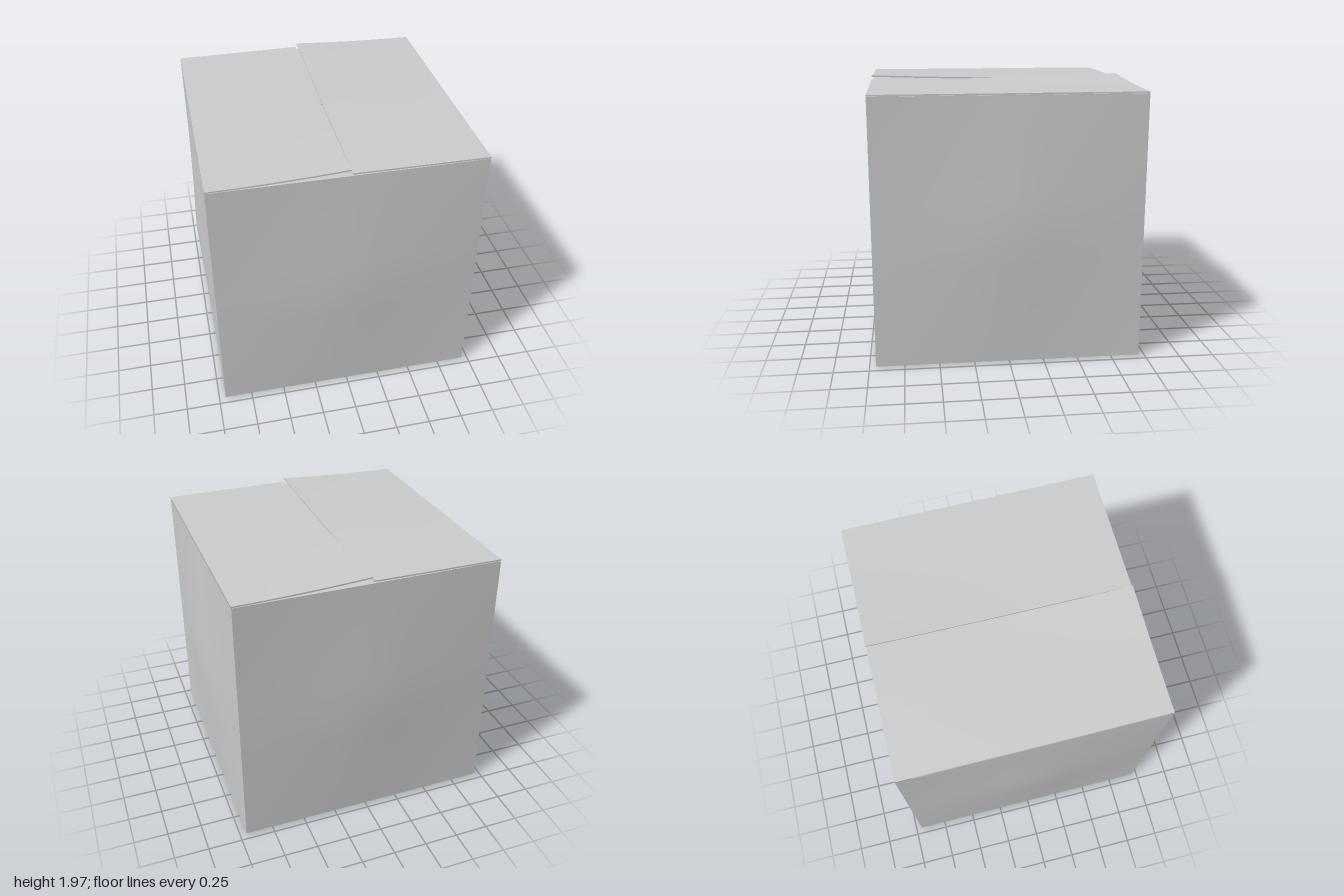
import * as THREE from 'three';

const H = 0.953;       // half width of the carton
const BASE = 0.008;    // lower edge of the walls
const TOP = 1.916;     // upper edge of the walls
const T = 0.011;       // thickness of the board

const card = new THREE.MeshStandardMaterial({ color: 0xcccccc, side: THREE.DoubleSide });

function addMesh(parent, geometry, name) {
  const mesh = new THREE.Mesh(geometry, card);
  mesh.name = name;
  parent.add(mesh);
  return mesh;
}

// Move every vertex by a rule, then refresh the normals
function deform(geometry, rule) {
  const pos = geometry.attributes.position;
  const v = new THREE.Vector3();
  for (let i = 0; i < pos.count; i++) {
    rule(v.fromBufferAttribute(pos, i));
    pos.setXYZ(i, v.x, v.y, v.z);
  }
  geometry.computeVertexNormals();
  return geometry;
}

// A panel that bulges outwards towards its centre
function bulgedPanel(width, height, bulge) {
  return deform(new THREE.PlaneGeometry(width, height, 8, 8), (v) => {
    const u = 1 - Math.abs(v.x) / (width / 2);
    const w = 1 - Math.abs(v.y) / (height / 2);
    v.z = bulge * u * w;
  });
}

// Top flap hinged at +x, with its free corner at -z curling upwards
function outerFlap() {
  const inner = 0.006;
  const length = H - inner;
  const geometry = new THREE.BoxGeometry(length, T, 2 * H, 8, 1, 12);
  geometry.translate(inner + length / 2, TOP + 0.008 + T / 2, 0);
  return deform(geometry, (v) => {
    const u = (H - v.x) / length;
    const w = Math.max(0, (0.35 - v.z) / (0.35 + H));
    v.y += 0.006 * u + 0.03 * u * u * Math.pow(w, 1.5);
  });
}

export function createModel() {
  const carton = new THREE.Group();
  carton.name = 'carton';

  // Four walls, the side pair bulging slightly more than the front and back
  const height = TOP - BASE;
  ['frontWall', 'leftWall', 'backWall', 'rightWall'].forEach((name, i) => {
    const pivot = new THREE.Group();
    pivot.rotation.y = i * Math.PI / 2;
    carton.add(pivot);
    const wall = addMesh(pivot, bulgedPanel(2 * H, height, i % 2 ? 0.047 : 0.042), name);
    wall.position.set(0, BASE + height / 2, H);
  });

  // Bottom
  const bottom = addMesh(carton, bulgedPanel(2 * H, 2 * H, BASE), 'bottom');
  bottom.rotation.x = Math.PI / 2;
  bottom.position.y = BASE;

  // Inner flaps, folded in from the front and back
  for (const s of [1, -1]) {
    const flap = addMesh(carton, new THREE.BoxGeometry(2 * H - 0.02, T, H - 0.006),
      s > 0 ? 'frontInnerFlap' : 'backInnerFlap');
    flap.position.set(0, TOP, s * (H + 0.006) / 2);
  }

  // Outer flaps, meeting in the middle; one is the other turned half way round
  const flapGeometry = outerFlap();
  addMesh(carton, flapGeometry, 'leftOuterFlap');
  addMesh(carton, flapGeometry, 'rightOuterFlap').rotation.y = Math.PI;

  return carton;
}
